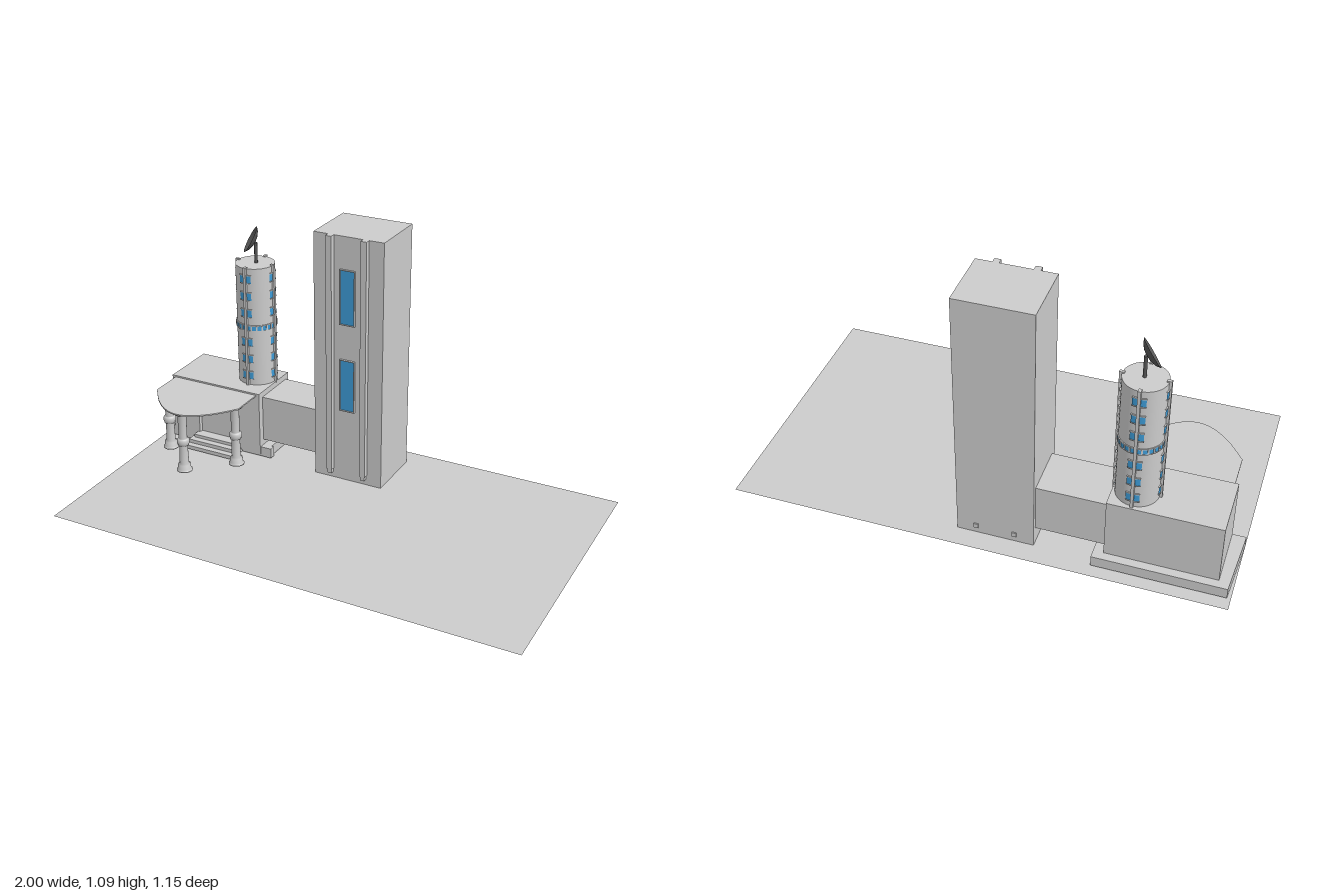
import * as THREE from 'three';

const grey = new THREE.MeshStandardMaterial({ color: 0xcccccc });
const thin = new THREE.MeshStandardMaterial({ color: 0xcccccc, side: THREE.DoubleSide });
const blue = new THREE.MeshStandardMaterial({ color: 0x3d9bd6 });
const dark = new THREE.MeshStandardMaterial({ color: 0x555555, side: THREE.DoubleSide });

function add(parent, name, geometry, material = grey) {
  const mesh = new THREE.Mesh(geometry, material);
  mesh.name = name;
  parent.add(mesh);
  return mesh;
}

// Box given by its minimum and maximum on each axis
function box(parent, name, x0, x1, y0, y1, z0, z1, material) {
  const g = new THREE.BoxGeometry(x1 - x0, y1 - y0, z1 - z0);
  g.translate((x0 + x1) / 2, (y0 + y1) / 2, (z0 + z1) / 2);
  return add(parent, name, g, material);
}

function group(parent, name, x = 0, y = 0, z = 0) {
  const g = new THREE.Group();
  g.name = name;
  g.position.set(x, y, z);
  parent.add(g);
  return g;
}

function buildTallTower(root) {
  const tower = group(root, 'tallTower');
  box(tower, 'towerBody', -0.23, 0.08, 0, 1.09, -0.49, -0.23);
  // Vertical ducts on the front, with feet that run through to the back
  for (const x of [-0.152, 0.002]) {
    box(tower, 'duct', x - 0.013, x + 0.013, 0.05, 1.09, -0.23, -0.207);
    box(tower, 'ductFoot', x - 0.009, x + 0.009, 0.03, 0.05, -0.495, -0.212);
  }
  // Two framed windows
  for (const [y0, y1] of [[0.335, 0.56], [0.72, 0.95]]) {
    box(tower, 'windowPane', -0.108, -0.046, y0, y1, -0.235, -0.226, blue);
    for (const x of [-0.111, -0.046]) box(tower, 'windowJamb', x, x + 0.003, y0, y1, -0.235, -0.22);
    for (const y of [y0 - 0.003, y1]) box(tower, 'windowRail', -0.111, -0.043, y, y + 0.003, -0.235, -0.22);
  }
}

function buildHall(root) {
  const hall = group(root, 'entranceHall');
  box(hall, 'hallBody', -0.945, -0.505, 0.02, 0.31, -0.49, -0.255);

  // Front wall with an arched doorway
  const wall = new THREE.Shape();
  wall.moveTo(-0.945, 0.02).lineTo(-0.505, 0.02).lineTo(-0.505, 0.31).lineTo(-0.945, 0.31).closePath();
  const arch = new THREE.Path();
  arch.moveTo(-0.815, 0.03).lineTo(-0.815, 0.165);
  arch.absarc(-0.725, 0.165, 0.09, Math.PI, 0, true);
  arch.lineTo(-0.635, 0.03).closePath();
  wall.holes.push(arch);
  const front = add(hall, 'archedFrontWall',
    new THREE.ExtrudeGeometry(wall, { depth: 0.02, bevelEnabled: false, curveSegments: 16 }));
  front.position.z = -0.255;

  // Plinth with a slightly slanted outer side
  const plan = new THREE.Shape();
  plan.moveTo(-1, 0.24).lineTo(-0.455, 0.24).lineTo(-0.455, 0.265).lineTo(-0.465, 0.265)
    .lineTo(-0.465, 0.525).lineTo(-0.985, 0.525).closePath();
  const plinth = new THREE.ExtrudeGeometry(plan, { depth: 0.045, bevelEnabled: false });
  plinth.rotateX(-Math.PI / 2).translate(0, 0.01, 0);
  add(hall, 'plinth', plinth);

  // Entrance steps
  [[-0.205, 0.057, 0], [-0.177, 0.043, 0.012], [-0.15, 0.027, 0.024]].forEach(([z, top, grow]) =>
    box(hall, 'step', -0.825 - grow, -0.625 + grow, 0.01, top, -0.245, z));

  box(hall, 'linkCorridor', -0.51, -0.225, 0.08, 0.285, -0.47, -0.265);
}

function buildPorch(root) {
  const porch = group(root, 'porch');
  // Thin canopy with a rounded front edge
  const plan = new THREE.Shape();
  plan.moveTo(-0.93, 0.24).lineTo(-0.93, 0.09);
  plan.splineThru([[-0.86, 0.003], [-0.79, -0.052], [-0.725, -0.07], [-0.66, -0.052], [-0.59, 0.003], [-0.52, 0.09]]
    .map(([x, y]) => new THREE.Vector2(x, y)));
  plan.lineTo(-0.52, 0.24).closePath();
  const canopy = new THREE.ExtrudeGeometry(plan, { depth: 0.006, bevelEnabled: false, curveSegments: 24 });
  canopy.rotateX(-Math.PI / 2).translate(0, 0.297, 0);
  add(porch, 'canopy', canopy, thin);

  // Turned columns: wide foot, collar at mid height, flat capital
  const profile = [[0, 0.02], [0.034, 0.02], [0.034, 0.024], [0.028, 0.03], [0.027, 0.05], [0.02, 0.055],
    [0.018, 0.14], [0.024, 0.142], [0.024, 0.15], [0.027, 0.152], [0.027, 0.166], [0.022, 0.172],
    [0.018, 0.174], [0.019, 0.288], [0.034, 0.291], [0.034, 0.297], [0, 0.297]]
    .map(([r, y]) => new THREE.Vector2(r, y));
  for (const [x, z] of [[-0.893, -0.12], [-0.725, 0.03], [-0.557, -0.12]]) {
    add(porch, 'column', new THREE.LatheGeometry(profile, 20)).position.set(x, 0, z);
  }
}

function buildRoundTower(root) {
  const tower = group(root, 'roundTower', -0.597, 0, -0.39);
  const body = new THREE.CylinderGeometry(0.084, 0.084, 0.54, 40);
  add(tower, 'roundBody', body.translate(0, 0.575, 0));

  // Ribs and window columns on the four sides
  for (let i = 0; i < 4; i++) {
    const side = group(tower, 'towerSide');
    side.rotation.y = i * Math.PI / 2;
    box(side, 'rib', -0.006, 0.006, 0.305, 0.85, 0.075, 0.094);
    for (const y of [0.355, 0.432, 0.51, 0.643, 0.72, 0.797]) {
      const pane = new THREE.CylinderGeometry(0.087, 0.087, 0.032, 6, 1, true, -0.3, 0.6);
      add(side, 'towerWindow', pane.translate(0, y, 0), blue);
      for (const dy of [-0.018, 0.018]) {
        const ledge = new THREE.CylinderGeometry(0.089, 0.089, 0.004, 6, 1, false, -0.31, 0.62);
        add(side, 'windowLedge', ledge.translate(0, y + dy, 0));
      }
    }
  }

  // Blue band of glazing with rims and small posts
  add(tower, 'glazedBand', new THREE.CylinderGeometry(0.0865, 0.0865, 0.02, 40, 1, true).translate(0, 0.576, 0), blue);
  for (const y of [0.564, 0.588]) {
    add(tower, 'bandRim', new THREE.CylinderGeometry(0.088, 0.088, 0.004, 40).translate(0, y, 0));
  }
  for (let i = 0; i < 24; i++) {
    const post = box(tower, 'bandPost', -0.003, 0.003, 0.565, 0.587, 0.083, 0.089);
    post.rotation.y = (i / 24) * Math.PI * 2;
  }

  // Dish on a mast
  add(tower, 'mast', new THREE.CylinderGeometry(0.007, 0.007, 0.1, 12).translate(0.005, 0.885, 0), dark);
  const bowl = [[0, -0.018], [0.025, -0.015], [0.045, -0.007], [0.06, 0.005]].map(([r, y]) => new THREE.Vector2(r, y));
  const dish = add(tower, 'dish', new THREE.LatheGeometry(bowl, 32), dark);
  dish.position.set(-0.012, 0.945, 0.005);
  dish.quaternion.setFromUnitVectors(new THREE.Vector3(0, 1, 0), new THREE.Vector3(-0.75, 0.48, 0.42).normalize());
}

export function createModel() {
  const root = new THREE.Group();
  root.name = 'buildingComplex';
  const ground = new THREE.PlaneGeometry(2, 1.15);
  ground.rotateX(-Math.PI / 2).translate(0, 0.005, 0);
  add(root, 'groundPlate', ground, thin);
  buildTallTower(root);
  buildHall(root);
  buildPorch(root);
  buildRoundTower(root);
  return root;
}
